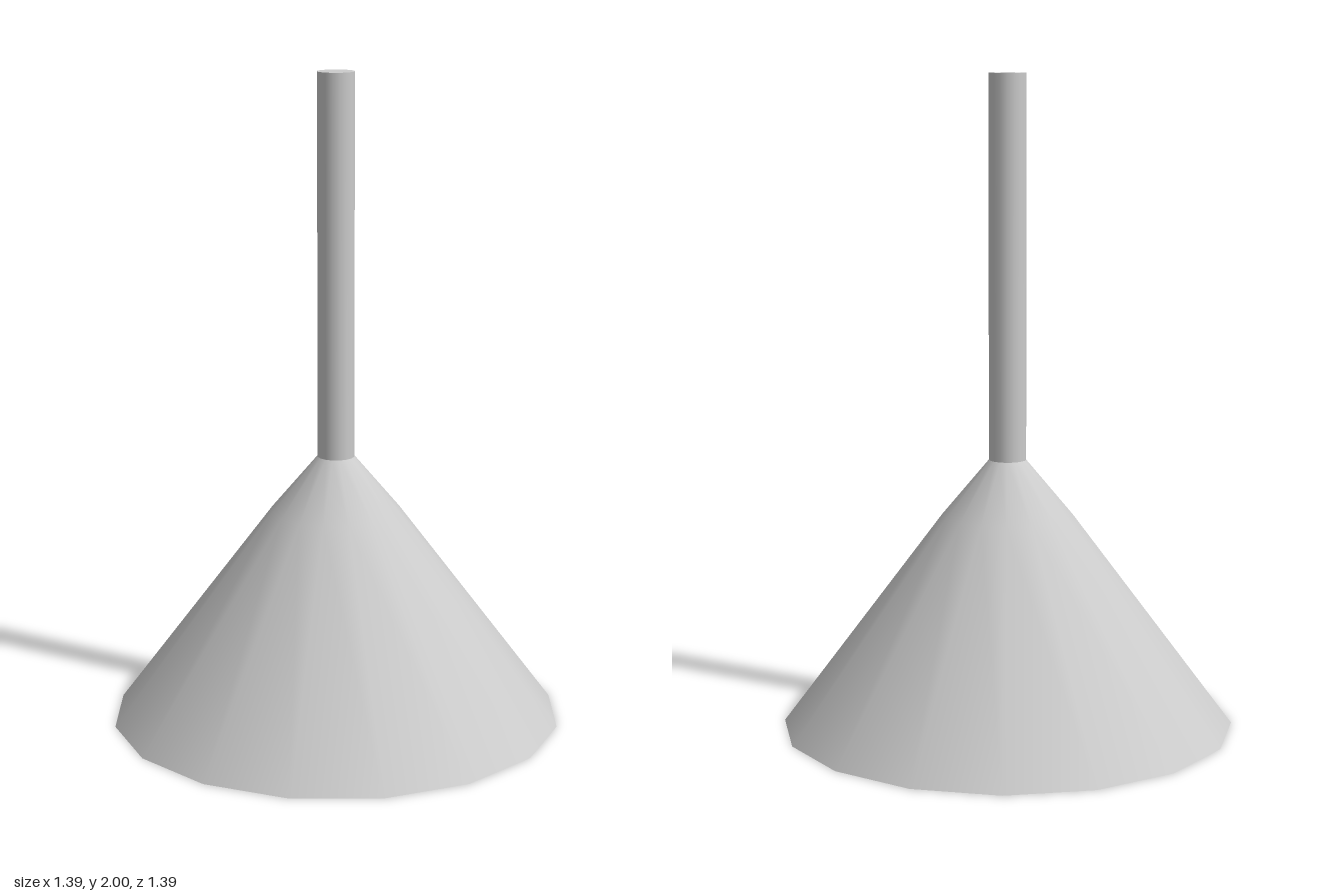
import * as THREE from 'three';

export function createModel() {
  const group = new THREE.Group();
  const material = new THREE.MeshStandardMaterial({ color: 0xcccccc });
  const add = (name, geometry) => {
    const mesh = new THREE.Mesh(geometry, material);
    mesh.name = name;
    group.add(mesh);
    return mesh;
  };

  const sides = 16;
  const shadeRadius = 0.695;
  const rodRadius = 0.057;
  const neckY = 0.83;
  const topY = 2;

  // Conical shade, slightly flatter near the neck
  const profile = [
    [shadeRadius, 0],
    [0.2, 0.66],
    [rodRadius, neckY],
  ].map(([r, y]) => new THREE.Vector2(r, y));
  add('shade', new THREE.LatheGeometry(profile, sides));

  // Flat underside closing the shade
  add('shadeBase', new THREE.CircleGeometry(shadeRadius, sides).rotateX(Math.PI / 2));

  // Hanging rod
  const rod = add('rod', new THREE.CylinderGeometry(rodRadius, rodRadius, topY - neckY, sides));
  rod.position.y = (topY + neckY) / 2;

  return group;
}
